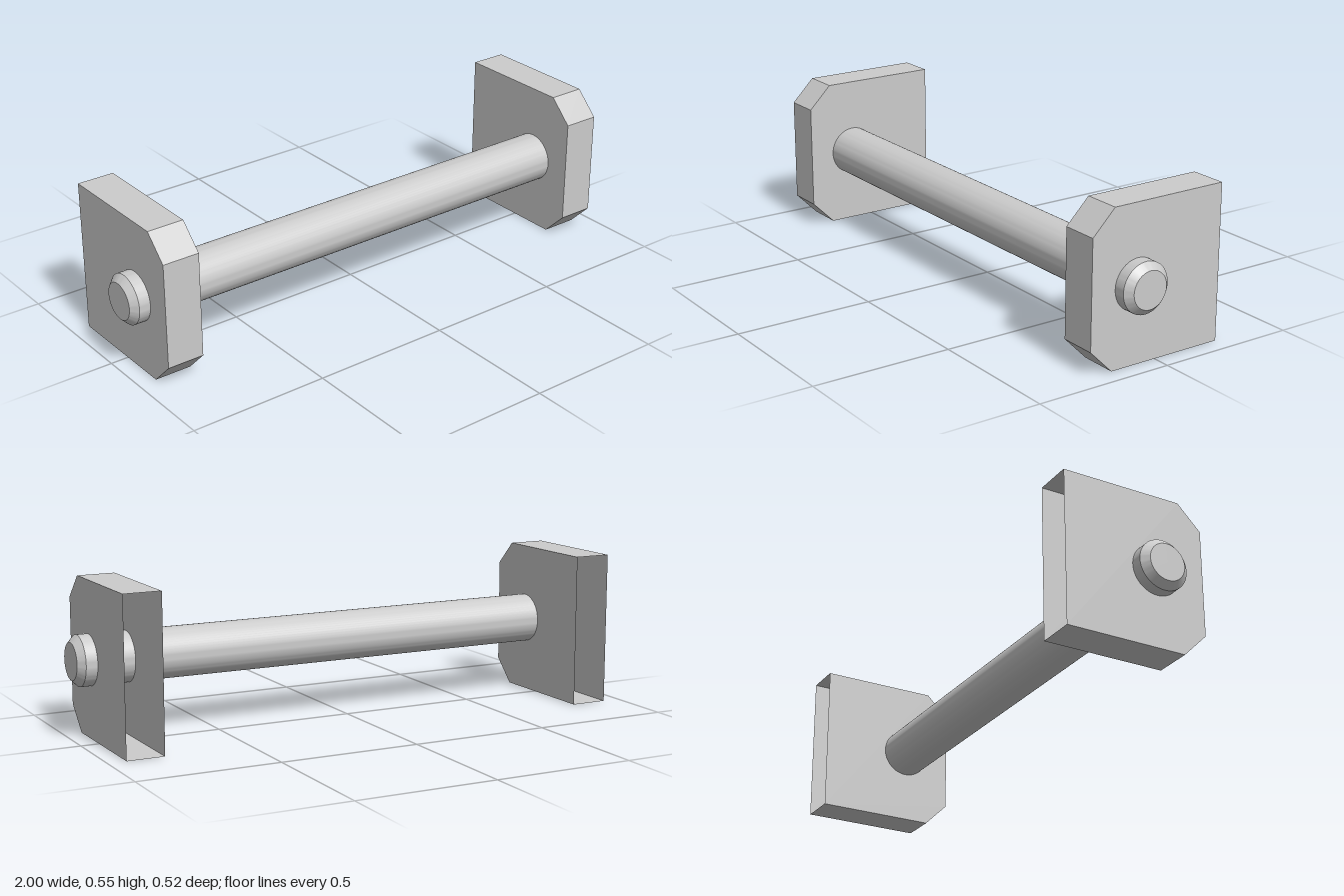
import * as THREE from 'three';
import { toCreasedNormals } from 'three/addons/utils/BufferGeometryUtils.js';

const BACK = 0.258, HEIGHT = 0.545, FRONT = 0.259, CUT = 0.084;
const PLATE_IN = 0.803, PLATE_OUT = 0.936;

// Hollow plate with chamfered front corners, open at the back
function plateGeometry() {
  const shape = new THREE.Shape([
    [BACK, 0], [BACK, HEIGHT], [CUT - FRONT, HEIGHT], [-FRONT, HEIGHT - CUT],
    [-FRONT, CUT], [CUT - FRONT, 0],
  ].map(([x, y]) => new THREE.Vector2(x, y)));
  const solid = new THREE.ExtrudeGeometry(shape, { depth: PLATE_OUT - PLATE_IN, bevelEnabled: false });
  const p = solid.getAttribute('position');
  const kept = [];
  for (let i = 0; i < p.count; i += 3) {
    // Drop the back wall
    if ([0, 1, 2].every((k) => p.getX(i + k) > BACK - 1e-4)) continue;
    for (let k = 0; k < 3; k++) kept.push(p.getX(i + k), p.getY(i + k), p.getZ(i + k));
  }
  const open = new THREE.BufferGeometry();
  open.setAttribute('position', new THREE.Float32BufferAttribute(kept, 3));
  open.rotateY(Math.PI / 2);
  open.computeVertexNormals();
  return open;
}

// Round bar along x with chamfered ends
function rodGeometry() {
  const r = 0.0885, tip = 0.065, end = 1 - (r - tip);
  const profile = [[0, -1], [tip, -1], [r, -end], [r, end], [tip, 1], [0, 1]]
    .map(([x, y]) => new THREE.Vector2(x, y));
  const bar = new THREE.LatheGeometry(profile, 64).rotateZ(-Math.PI / 2);
  return toCreasedNormals(bar, Math.PI / 6);
}

export function createModel() {
  const model = new THREE.Group();
  model.name = 'rodWithEndPlates';
  const metal = new THREE.MeshStandardMaterial({ color: 0xcccccc });
  const shell = new THREE.MeshStandardMaterial({ color: 0xcccccc, side: THREE.DoubleSide });

  const rod = new THREE.Mesh(rodGeometry(), metal);
  rod.name = 'rod';
  rod.position.set(0, HEIGHT / 2, 0.079);
  model.add(rod);

  const geometry = plateGeometry();
  for (const [name, x] of [['leftPlate', PLATE_IN], ['rightPlate', -PLATE_OUT]]) {
    const plate = new THREE.Mesh(geometry, shell);
    plate.name = name;
    plate.position.x = x;
    model.add(plate);
  }
  return model;
}
